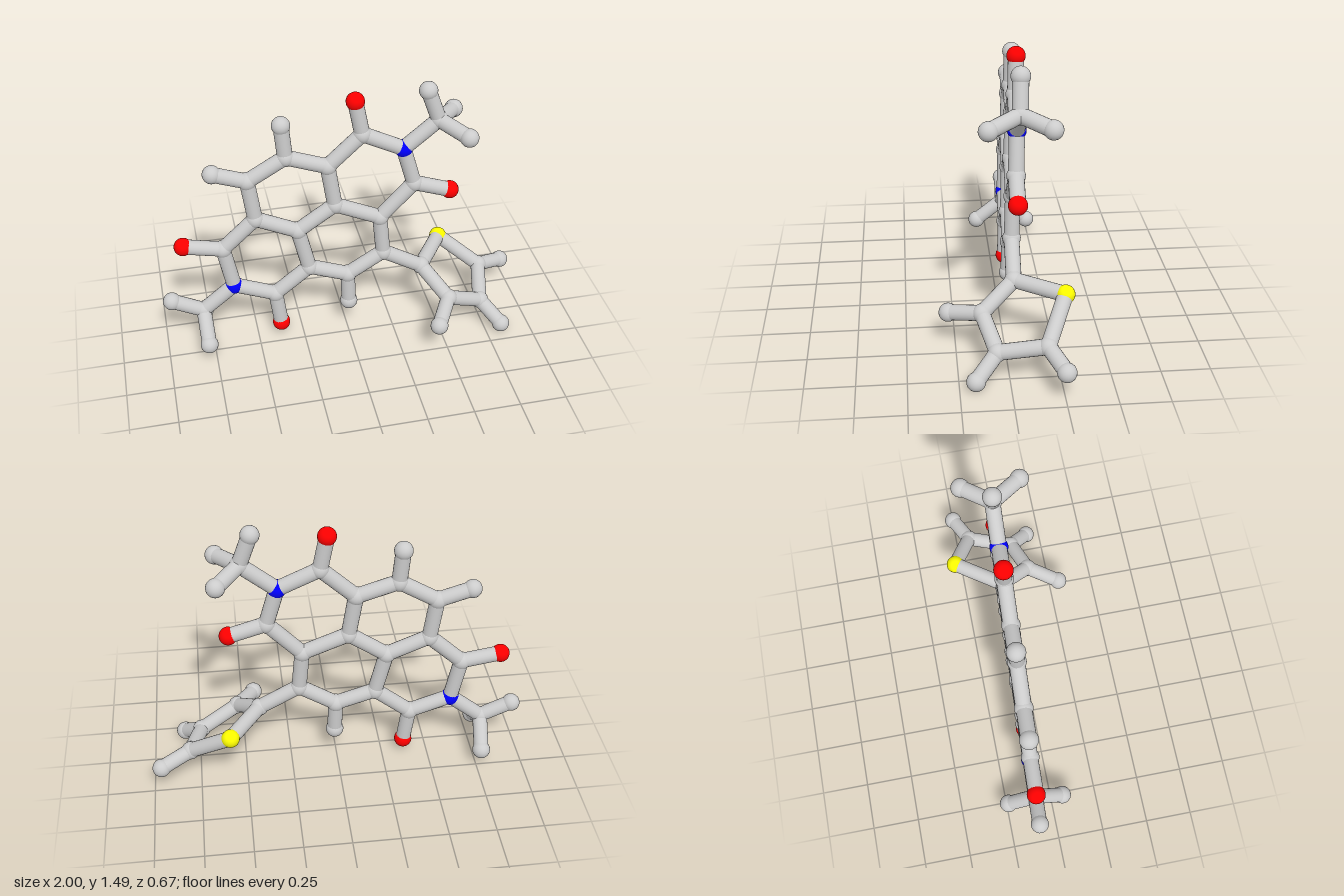
import * as THREE from 'three';

const ATOM_RADIUS = 0.048;
const BOND_RADIUS = 0.04;
const COLORS = { C: 0xcccccc, H: 0xcccccc, O: 0xff0000, N: 0x0000ff, S: 0xffff00 };
const ELEMENT = { C: 'carbon', H: 'hydrogen', O: 'oxygen', N: 'nitrogen', S: 'sulfur' };

// the fused rings lie in one slightly tilted plane
const sheetZ = (x, y) => -0.081 + 0.0425 * (x + 0.16) - 0.027 * (y - 0.75);

// id: [x, y, z]; the first letter is the element, z omitted = in the ring plane
const CORE = {
  O1: [0.05, 1.425], C1: [0.085, 1.235], N1: [0.3, 1.13], C2: [0.36, 0.915], O2: [0.555, 0.85],
  C3: [0.18, 0.72], C4: [-0.06, 0.825], C5: [-0.095, 1.065], C6: [-0.31, 1.14], H6: [-0.325, 1.325],
  C7: [-0.51, 1.02], H7: [-0.685, 1.08], C8: [-0.48, 0.785], C9: [-0.26, 0.685],
  C10: [-0.205, 0.44], C11: [0.005, 0.365], H11: [0.01, 0.18], C12: [0.2, 0.49],
  C13: [-0.66, 0.615], O3: [-0.865, 0.655], N2: [-0.615, 0.37], C14: [-0.395, 0.285], O4: [-0.37, 0.08],
};
const CORE_BONDS = 'O1-C1 C1-N1 N1-C2 C2-O2 C2-C3 C3-C4 C4-C5 C5-C1 C5-C6 C6-H6 C6-C7 C7-H7 C7-C8 '
  + 'C8-C9 C9-C4 C9-C10 C10-C11 C11-H11 C11-C12 C12-C3 C8-C13 C13-O3 C13-N2 N2-C14 C14-O4 C14-C10';

const METHYLS = {
  C20: [0.48, 1.28], H20: [0.42, 1.45], H21: [0.6, 1.25, -0.21], H22: [0.595, 1.25, 0.09],
  C30: [-0.79, 0.225], H30: [-0.955, 0.305], H31: [-0.775, 0.1, -0.24], H32: [-0.785, 0.105, 0.06],
};
const METHYL_BONDS = 'N1-C20 C20-H20 C20-H21 C20-H22 N2-C30 C30-H30 C30-H31 C30-H32';

const SIDE_RING = {
  C40: [0.415, 0.365, -0.05], S40: [0.58, 0.367, -0.29], C41: [0.795, 0.21, -0.18], C42: [0.735, 0.15, 0.06],
  C43: [0.53, 0.25, 0.12], H41: [0.952, 0.165, -0.25], H42: [0.83, 0.052, 0.17], H43: [0.435, 0.205, 0.285],
};
const SIDE_BONDS = 'C12-C40 C40-S40 S40-C41 C41-C42 C42-C43 C43-C40 C41-H41 C42-H42 C43-H43';

export function createModel() {
  const model = new THREE.Group();
  const sphere = new THREE.SphereGeometry(ATOM_RADIUS, 24, 16);
  const rod = new THREE.CylinderGeometry(BOND_RADIUS, BOND_RADIUS, 1, 20, 1, true);
  const materials = {};
  for (const key in COLORS) materials[key] = new THREE.MeshStandardMaterial({ color: COLORS[key] });
  const up = new THREE.Vector3(0, 1, 0);
  const positions = {};

  function addPart(name, atoms, bonds) {
    const part = new THREE.Group();
    part.name = name;
    // balls
    for (const [id, [x, y, z = sheetZ(x, y)]] of Object.entries(atoms)) {
      positions[id] = new THREE.Vector3(x, y, z);
      const ball = new THREE.Mesh(sphere, materials[id[0]]);
      ball.name = ELEMENT[id[0]] + 'Atom';
      ball.position.copy(positions[id]);
      part.add(ball);
    }
    // rods between ball centres
    for (const pair of bonds.split(' ')) {
      const [a, b] = pair.split('-').map((id) => positions[id]);
      const dir = b.clone().sub(a);
      const bond = new THREE.Mesh(rod, materials.C);
      bond.name = 'bond';
      bond.position.copy(a).add(b).multiplyScalar(0.5);
      bond.scale.y = dir.length();
      bond.quaternion.setFromUnitVectors(up, dir.normalize());
      part.add(bond);
    }
    model.add(part);
  }

  addPart('fusedRings', CORE, CORE_BONDS);
  addPart('methylGroups', METHYLS, METHYL_BONDS);
  addPart('sulfurRing', SIDE_RING, SIDE_BONDS);
  return model;
}
